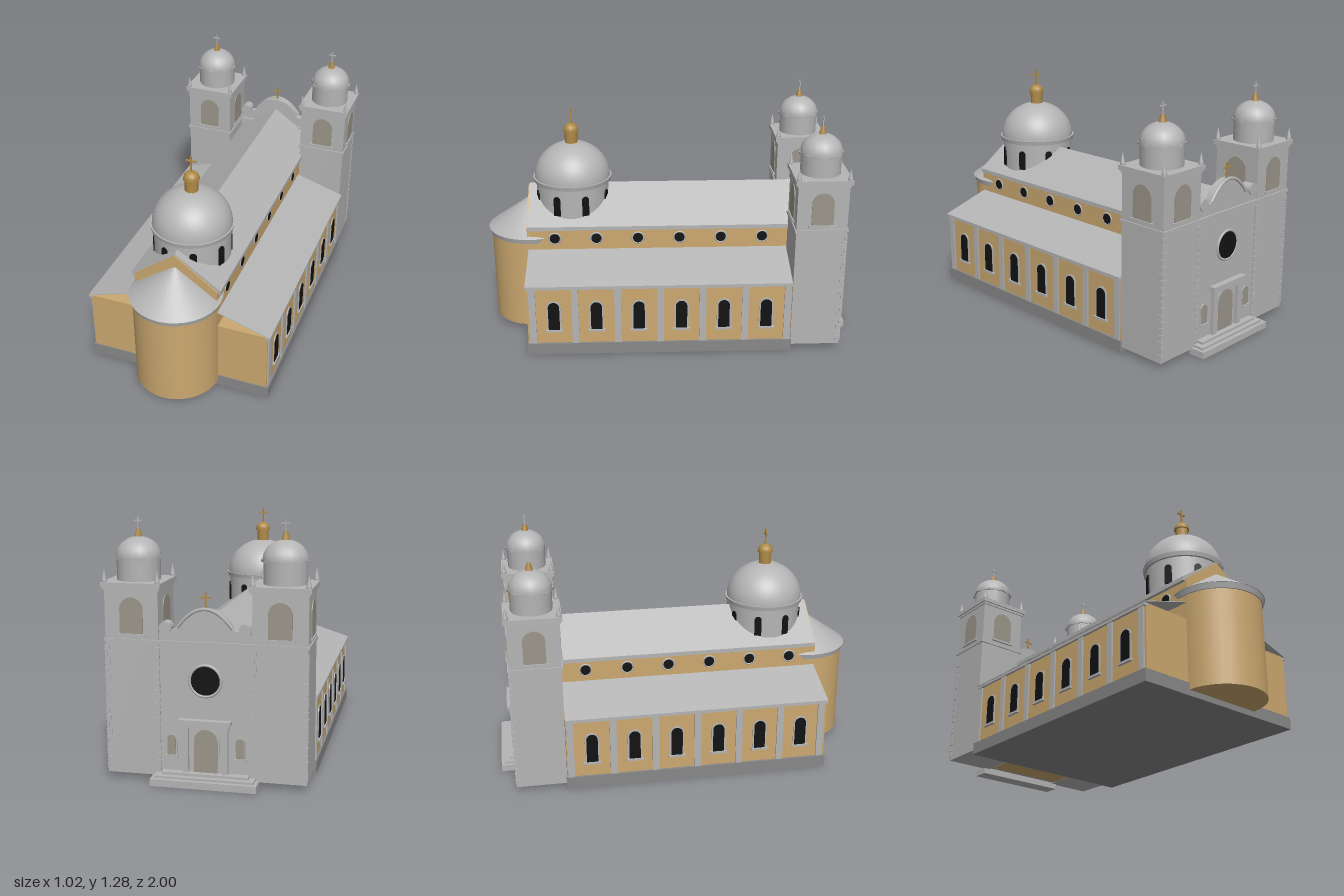
import * as THREE from 'three';

const mat = (name, color, side = THREE.FrontSide) => {
  const m = new THREE.MeshStandardMaterial({ color, side });
  m.name = name;
  return m;
};

export function createModel() {
  const stone = mat('stone', 0xb5b5b5);
  const roofing = mat('roofing', 0xb5b5b5, THREE.DoubleSide);
  const plinthGrey = mat('plinthGrey', 0x888888);
  const plaster = mat('plaster', 0xcba870);
  const gold = mat('gold', 0xb08a45);
  const panel = mat('panel', 0x9c968a);
  const glass = mat('glass', 0x121212);
  const model = new THREE.Group();
  model.name = 'church';

  const add = (name, geo, material, x = 0, y = 0, z = 0, parent = model) => {
    const m = new THREE.Mesh(geo, material);
    m.name = name;
    m.position.set(x, y, z);
    parent.add(m);
    return m;
  };
  // box given by its limits on each axis
  const box = (name, material, x0, x1, y0, y1, z0, z1, parent = model) =>
    add(name, new THREE.BoxGeometry(x1 - x0, y1 - y0, z1 - z0), material,
      (x0 + x1) / 2, (y0 + y1) / 2, (z0 + z1) / 2, parent);
  const cyl = (name, material, r0, r1, y0, y1, seg, x, z, parent = model) =>
    add(name, new THREE.CylinderGeometry(r1, r0, y1 - y0, seg), material, x, (y0 + y1) / 2, z, parent);
  const extrude = (shape, depth) =>
    new THREE.ExtrudeGeometry(shape, { depth, bevelEnabled: false, curveSegments: 12 });
  const polygon = pts => new THREE.Shape(pts.map(p => new THREE.Vector2(p[0], p[1])));
  const dome = (name, material, r, h, y, seg, x, z, parent = model) => {
    const d = add(name, new THREE.SphereGeometry(r, seg, 14, 0, Math.PI * 2, 0, Math.PI / 2), material, x, y, z, parent);
    d.scale.y = h / r;
    return d;
  };
  const arch = (w, h, d) => {
    const s = new THREE.Shape();
    s.moveTo(-w / 2, 0);
    s.lineTo(w / 2, 0);
    s.lineTo(w / 2, h - w / 2);
    s.absarc(0, h - w / 2, w / 2, 0, Math.PI, false);
    return extrude(s, d);
  };
  // arched opening facing its local +z, with optional surround and sill
  const opening = (name, material, w, h, x, y, z, turn, frame = 0, sill = 0) => {
    const g = new THREE.Group();
    g.name = name;
    g.position.set(x, y, z);
    g.rotation.y = turn;
    if (frame) add('surround', arch(w + frame * 2, h + frame, 0.005), stone, 0, 0, 0, g);
    add('pane', arch(w, h, 0.008), material, 0, 0, 0, g);
    if (sill) box('sill', stone, -w / 2 - sill, w / 2 + sill, -0.012, 0, 0, 0.014, g);
    model.add(g);
  };
  const roundWindow = (name, r, ring, x, y, z, turn) => {
    const g = new THREE.Group();
    g.name = name;
    g.position.set(x, y, z);
    g.rotation.y = turn;
    add('ring', new THREE.TorusGeometry(r + ring / 2, ring / 2, 8, 28), stone, 0, 0, 0, g);
    add('pane', new THREE.CylinderGeometry(r, r, 0.008, 28).rotateX(Math.PI / 2), glass, 0, 0, 0, g);
    model.add(g);
  };
  const cross = (material, y0, y1, barY, half, t, x, z) => {
    box('crossPost', material, x - t, x + t, y0, y1, z - t, z + t);
    box('crossBar', material, x - half, x + half, barY - t, barY + t, z - t, z + t);
  };

  // Base, nave and main roof
  box('plinth', plinthGrey, -0.505, 0.505, 0, 0.065, -0.66, 0.762);
  const naveShape = polygon([[-0.225, 0.03], [0.225, 0.03], [0.225, 0.625], [0, 0.795], [-0.225, 0.625]]);
  add('nave', extrude(naveShape, 1.64), plaster, 0, 0, -0.875);
  const roofShape = polygon([[-0.242, 0.61], [-0.22, 0.61], [0, 0.78], [0.22, 0.61], [0.242, 0.61],
    [0.242, 0.632], [0, 0.802], [-0.242, 0.632]]);
  add('naveRoof', extrude(roofShape, 1.64), roofing, 0, 0, -0.882);

  // Apse with conical roof
  cyl('apse', plaster, 0.226, 0.226, 0.03, 0.535, 32, 0, 0.755);
  cyl('apseCornice', stone, 0.232, 0.24, 0.53, 0.56, 32, 0, 0.755);
  add('apseRoof', new THREE.ConeGeometry(0.243, 0.172, 32), stone, 0, 0.645, 0.755);

  // Side aisles, mirrored
  for (const s of [-1, 1]) {
    const side = (name, m, a, b, y0, y1, z0, z1) =>
      box(name, m, Math.min(s * a, s * b), Math.max(s * a, s * b), y0, y1, z0, z1);
    side('aisle', plaster, 0.2, 0.493, 0.06, 0.402, -0.655, 0.757);
    side('aisleCornice', stone, 0.48, 0.506, 0.386, 0.4, -0.655, 0.76);
    const slab = polygon([[s * 0.22, 0.492], [s * 0.508, 0.401], [s * 0.508, 0.405], [s * 0.22, 0.496]]);
    add('aisleRoof', extrude(slab, 1.415), roofing, 0, 0, -0.654);
    for (let i = 0; i < 7; i++) {
      const z = 0.728 - i * 0.2268;
      side('pilaster', stone, 0.48, 0.501, 0.065, 0.39, z - 0.018, Math.min(z + 0.018, 0.757));
    }
    for (let i = 0; i < 6; i++) {
      const z = 0.615 - i * 0.2268;
      opening('aisleWindow', glass, 0.06, 0.16, s * 0.493, 0.147, z, s * Math.PI / 2, 0.008, 0.016);
      roundWindow('clerestoryWindow', 0.027, 0.009, s * 0.225, 0.557, z, s * Math.PI / 2);
    }
  }

  // Main dome on its drum, with gilded lantern
  const dz = 0.52;
  cyl('drum', stone, 0.2, 0.2, 0.6, 0.83, 40, 0, dz);
  cyl('drumCornice', stone, 0.212, 0.217, 0.825, 0.848, 40, 0, dz);
  dome('mainDome', stone, 0.208, 0.195, 0.845, 40, 0, dz);
  for (let i = 0; i < 8; i++) {
    const a = (i + 0.5) * Math.PI / 4;
    opening('drumWindow', glass, 0.038, 0.11, Math.sin(a) * 0.197, 0.675, dz + Math.cos(a) * 0.197, a);
  }
  cyl('lantern', gold, 0.035, 0.035, 1.02, 1.105, 12, 0, dz);
  cyl('lanternCornice', gold, 0.043, 0.043, 1.1, 1.108, 12, 0, dz);
  dome('lanternCap', gold, 0.041, 0.038, 1.107, 12, 0, dz);
  cross(gold, 1.14, 1.23, 1.203, 0.027, 0.004, 0, dz);

  // Twin bell towers
  const tz = -0.79, half = 0.133;
  for (const s of [-1, 1]) {
    const tx = s * 0.361;
    const block = (name, h, y0, y1) => box(name, stone, tx - h, tx + h, y0, y1, tz - h, tz + h);
    block('tower', half, 0.03, 0.96);
    block('towerBand', 0.14, 0.69, 0.705);
    block('towerCapLower', 0.139, 0.94, 0.953);
    block('towerCap', 0.147, 0.953, 0.977);
    for (let i = 0; i < 4; i++) {
      const a = i * Math.PI / 2;
      opening('belfryArch', panel, 0.115, 0.175, tx + Math.sin(a) * (half - 0.003), 0.732,
        tz + Math.cos(a) * (half - 0.003), a, 0, 0.013);
      const px = tx + (i % 2 ? 1 : -1) * 0.131, pz = tz + (i < 2 ? 1 : -1) * 0.131;
      cyl('pinnacleBase', stone, 0.013, 0.013, 0.975, 0.985, 8, px, pz);
      cyl('pinnacle', stone, 0.013, 0.001, 0.985, 1.038, 8, px, pz);
    }
    cyl('towerDrum', stone, 0.107, 0.107, 0.975, 1.085, 16, tx, tz);
    cyl('towerDrumCornice', stone, 0.118, 0.118, 1.079, 1.09, 8, tx, tz);
    dome('towerDome', stone, 0.111, 0.099, 1.087, 16, tx, tz);
    cyl('finial', gold, 0.021, 0.009, 1.18, 1.222, 8, tx, tz);
    cross(stone, 1.22, 1.282, 1.262, 0.021, 0.003, tx, tz);
    // alternating corner stones on the entrance side
    for (const e of [-1, 1]) {
      for (let i = 0; i < 18; i++) {
        const w = i % 2 ? 0.026 : 0.014, d = i % 2 ? 0.014 : 0.026;
        const y = 0.05 + i * 0.035;
        const cx = tx + e * (half + 0.004 - w / 2), cz = tz - half - 0.004 + d / 2;
        box('quoin', stone, cx - w / 2, cx + w / 2, y, y + 0.026, cz - d / 2, cz + d / 2);
      }
    }
  }

  // Entrance front between the towers, with curved gable and scrolls
  const fz = -0.918;
  box('entranceWall', stone, -0.23, 0.23, 0.035, 0.7, fz, -0.87);
  box('entranceCornice', stone, -0.23, 0.23, 0.69, 0.705, fz - 0.01, -0.865);
  const gable = new THREE.Shape();
  gable.moveTo(-0.225, 0.7);
  gable.lineTo(0.225, 0.7);
  gable.lineTo(0.225, 0.745);
  gable.lineTo(0.135, 0.765);
  gable.quadraticCurveTo(0.1, 0.86, 0, 0.862);
  gable.quadraticCurveTo(-0.1, 0.86, -0.135, 0.765);
  gable.lineTo(-0.225, 0.745);
  add('curvedGable', extrude(gable, 0.04), stone, 0, 0, fz);
  for (const s of [-1, 1])
    add('scroll', new THREE.CylinderGeometry(0.031, 0.031, 0.056, 16).rotateX(Math.PI / 2), stone, s * 0.195, 0.766, -0.897);
  const arc = new THREE.QuadraticBezierCurve3(new THREE.Vector3(-0.135, 0.77, 0),
    new THREE.Vector3(0, 0.955, 0), new THREE.Vector3(0.135, 0.77, 0));
  add('gableMoulding', new THREE.TubeGeometry(arc, 20, 0.009, 6), stone, 0, 0, fz);
  cross(gold, 0.855, 0.94, 0.915, 0.024, 0.004, 0, -0.9);
  roundWindow('roseWindow', 0.07, 0.014, 0, 0.515, fz - 0.002, Math.PI);

  // Portal, niches and steps
  opening('door', panel, 0.115, 0.22, 0, 0.055, fz, Math.PI, 0.012);
  for (const s of [-1, 1]) {
    box('portalPier', stone, s * 0.098 - 0.014, s * 0.098 + 0.014, 0.05, 0.29, fz - 0.02, fz);
    opening('niche', panel, 0.042, 0.1, s * 0.17, 0.14, fz, Math.PI, 0.006, 0.01);
  }
  box('portalLintel', stone, -0.118, 0.118, 0.285, 0.308, fz - 0.024, fz);
  box('portalCornice', stone, -0.128, 0.128, 0.308, 0.325, fz - 0.034, fz);
  [[0.262, 0, 0.035, -1], [0.245, 0.035, 0.047, -0.98], [0.215, 0.047, 0.06, -0.955]].forEach(([w, y0, y1, z]) =>
    box('step', stone, -w, w, y0, y1, z, -0.91));

  return model;
}
